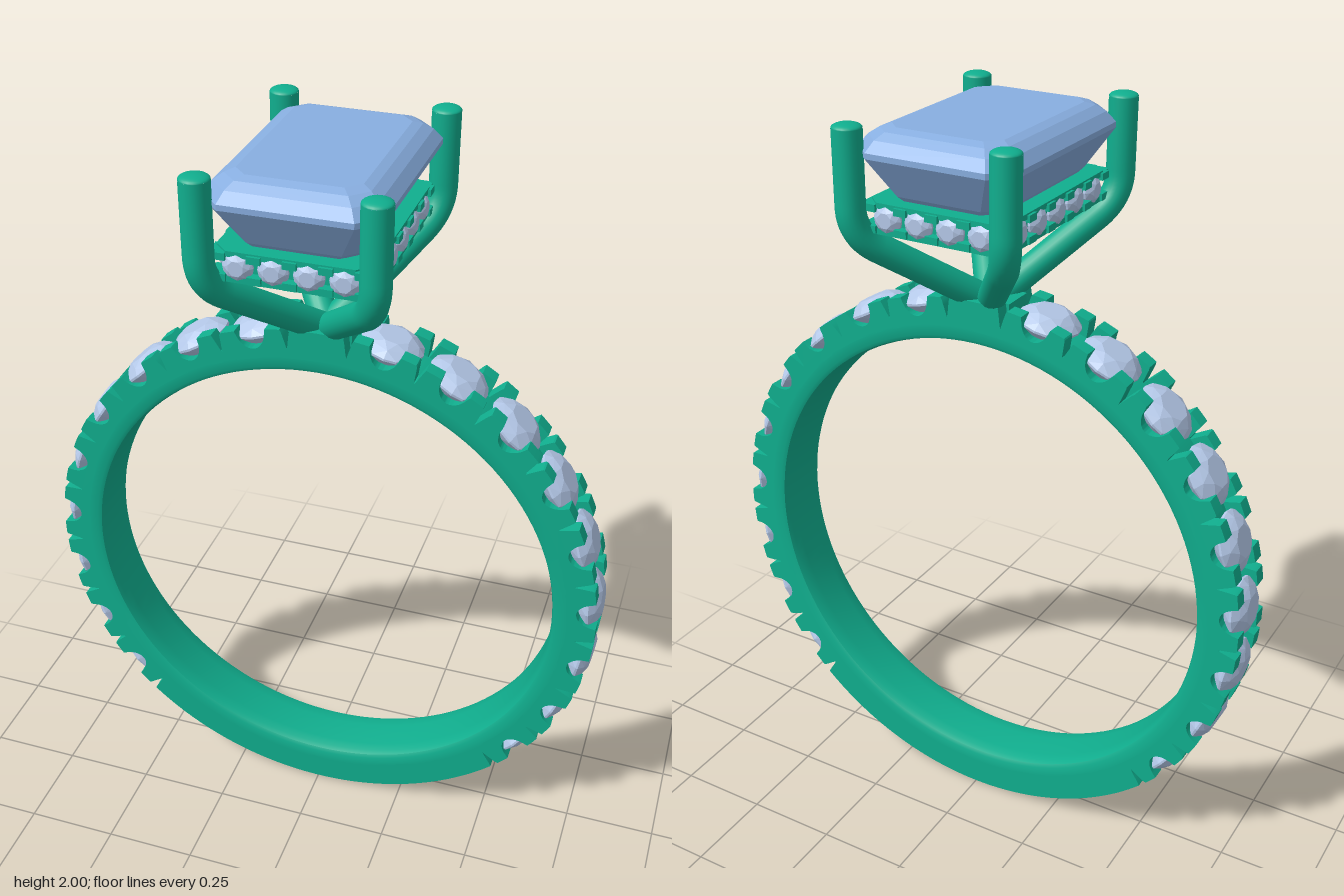
import * as THREE from 'three';
import { toCreasedNormals } from 'three/addons/utils/BufferGeometryUtils.js';
import { ConvexGeometry } from 'three/addons/geometries/ConvexGeometry.js';

const CY = 0.767, R = 0.765, HALF = 0.085;      // band centre height, outer radius, half width
const PITCH = 14.4, FIRST = 13.4, COUNT = 9;    // pavé stones per side, in degrees from the top
const V = (x, y, z) => new THREE.Vector3(x, y, z);
const rad = THREE.MathUtils.degToRad;

export function createModel() {
  const root = new THREE.Group();
  const metal = new THREE.MeshStandardMaterial({ color: 0x10ae8e });
  const blue = new THREE.MeshStandardMaterial({ color: 0x88aee0, flatShading: true });
  const pale = new THREE.MeshStandardMaterial({ color: 0xb4c8e8, flatShading: true });

  const add = (name, geo, mat, parent = root) => {
    const m = new THREE.Mesh(geo, mat);
    m.name = name;
    parent.add(m);
    return m;
  };
  const group = (name) => {
    const g = new THREE.Group();
    g.name = name;
    root.add(g);
    return g;
  };

  // Inner band with softly rounded inside edges
  const s = 0.69, r0 = 0.645;
  const profile = [[s, -HALF], [0.662, -HALF], [0.652, -0.08], [0.647, -0.066], [r0, -0.04],
    [r0, 0.04], [0.647, 0.066], [0.652, 0.08], [0.662, HALF], [s, HALF], [s, -HALF]]
    .map(([x, y]) => new THREE.Vector2(x, y)).reverse();
  const band = add('innerBand', toCreasedNormals(new THREE.LatheGeometry(profile, 128), 0.6), metal);
  band.material = metal.clone();
  band.material.side = THREE.DoubleSide;
  band.rotation.x = Math.PI / 2;
  band.position.y = CY;

  // Outer band layers: an extruded ring whose radius follows a rule of the angle from the top
  const layer = (name, radiusAt, z0, z1) => {
    const pts = [];
    for (let i = 0; i < 1440; i++) {
      const a = i / 4, t = rad(a), r = radiusAt(a > 180 ? 360 - a : a);
      pts.push(new THREE.Vector2(Math.sin(t) * r, Math.cos(t) * r));
    }
    const shape = new THREE.Shape(pts);
    shape.holes.push(new THREE.Path().absarc(0, 0, s - 0.004, 0, Math.PI * 2));
    const geo = new THREE.ExtrudeGeometry(shape, { depth: z1 - z0, bevelEnabled: false, curveSegments: 64 });
    add(name, toCreasedNormals(geo, 0.5), metal).position.set(0, CY, z0);
  };
  const start = FIRST - PITCH / 2, end = start + COUNT * PITCH;
  // scallop under each stone, narrow V notch between neighbours
  const scalloped = (a) => {
    if (a < start - 1 || a > end + 1) return R;
    const k = (a - start) / PITCH;
    const toNotch = Math.abs(k - Math.round(k)) * rad(PITCH) * R;
    if (toNotch < 0.012) return R - 0.055 * (1 - toNotch / 0.012);
    const toStone = Math.abs(k - Math.floor(k) - 0.5) * rad(PITCH) * R;
    const inside = a > start && a < end && toStone < 0.04;
    return inside ? R - 0.052 * Math.sqrt(1 - (toStone / 0.04) ** 2) : R;
  };
  layer('bandProngsFront', scalloped, 0.045, HALF);
  layer('bandProngsBack', scalloped, -HALF, -0.045);
  layer('bandCentre', (a) => (a > start && a < end ? 0.72 : R), -0.045, 0.045);

  // Round brilliant: octagonal table, crown ring, girdle and pavilion point
  const brilliant = (r, crown, depth) => {
    const pts = [V(0, -depth, 0)];
    const ring = (n, q, y, off) => {
      for (let i = 0; i < n; i++) {
        const t = (i + off) / n * Math.PI * 2;
        pts.push(V(Math.cos(t) * q, y, Math.sin(t) * q));
      }
    };
    ring(8, r * 0.52, crown, 0.5);
    ring(8, r * 0.8, crown * 0.62, 0);
    ring(16, r, 0.003, 0);
    ring(16, r, -0.003, 0);
    ring(8, r * 0.62, -depth * 0.5, 0.5);
    return new ConvexGeometry(pts);
  };
  const placeStone = (parent, geo, name, pos, normal) => {
    const m = add(name, geo, pale, parent);
    m.position.copy(pos);
    m.quaternion.setFromUnitVectors(V(0, 1, 0), normal);
  };

  // Stones along the shoulders of the band
  const bandStones = group('bandStones');
  const bandGem = brilliant(0.082, 0.03, 0.07);
  for (const side of [-1, 1]) {
    for (let i = 0; i < COUNT; i++) {
      const t = rad(FIRST + i * PITCH), n = V(side * Math.sin(t), Math.cos(t), 0);
      placeStone(bandStones, bandGem, 'bandStone', n.clone().multiplyScalar(0.74).add(V(0, CY, 0)), n);
    }
  }

  // Four claws rising from one foot on the band
  const claws = group('claws');
  for (const sx of [-1, 1]) {
    for (const sz of [-1, 1]) {
      const at = (f, y) => V(sx * 0.21 * f, y, sz * 0.292 * f);
      const path = new THREE.CurvePath();
      path.add(new THREE.LineCurve3(at(0, 1.505), at(0.82, 1.69)));
      path.add(new THREE.QuadraticBezierCurve3(at(0.82, 1.69), at(1, 1.731), at(1, 1.8)));
      path.add(new THREE.LineCurve3(at(1, 1.8), at(1, 1.988)));
      add('claw', new THREE.TubeGeometry(path, 48, 0.037, 20), metal, claws);
      const tip = add('clawTip', new THREE.SphereGeometry(0.037, 20, 8, 0, Math.PI * 2, 0, Math.PI / 2), metal, claws);
      tip.scale.y = 0.32;
      tip.position.copy(at(1, 1.988));
    }
  }

  // Step-cut centre stone: stacked rectangles with cut corners [y, half x, half z, corner cut]
  const steps = [[1.705, 0.006, 0.08, 0.003], [1.755, 0.088, 0.165, 0.024], [1.825, 0.155, 0.238, 0.042],
    [1.922, 0.216, 0.297, 0.056], [1.936, 0.216, 0.297, 0.056], [1.962, 0.195, 0.276, 0.048],
    [1.978, 0.172, 0.253, 0.04], [1.986, 0.15, 0.23, 0.034]];
  const stonePts = [];
  for (const [y, x, z, c] of steps) {
    for (const sx of [-1, 1]) {
      for (const sz of [-1, 1]) stonePts.push(V(sx * (x - c), y, sz * z), V(sx * x, y, sz * (z - c)));
    }
  }
  add('centreStone', new ConvexGeometry(stonePts), blue);

  // Basket: cut-corner frame with two rails, set with small stones on all sides
  const basket = group('basket');
  const cutRect = (x, z, c, Kind) => new Kind([[x, z - c], [x - c, z], [c - x, z], [-x, z - c],
    [-x, c - z], [c - x, -z], [x - c, -z], [x, c - z]].map(([a, b]) => new THREE.Vector2(a, b)));
  const frame = (name, x, z, y, h) => {
    const shape = cutRect(x, z, 0.035, THREE.Shape);
    shape.holes.push(cutRect(0.14, 0.215, 0.025, THREE.Path));
    const m = add(name, new THREE.ExtrudeGeometry(shape, { depth: h, bevelEnabled: false }), metal, basket);
    m.rotation.x = -Math.PI / 2;
    m.position.y = y;
  };
  frame('basketCore', 0.175, 0.25, 1.742, 0.062);
  frame('basketLowerRail', 0.19, 0.266, 1.735, 0.014);
  frame('basketUpperRail', 0.19, 0.266, 1.798, 0.014);
  const smallGem = brilliant(0.038, 0.018, 0.03);
  const row = (n, pitch, out, normal) => {
    const along = V(normal.z, 0, -normal.x);
    const point = (u, y, d) => along.clone().multiplyScalar(u).addScaledVector(normal, d).add(V(0, y, 0));
    for (let i = 0; i < n; i++) {
      placeStone(basket, smallGem, 'basketStone', point((i - (n - 1) / 2) * pitch, 1.773, out - 0.014), normal);
    }
    for (let i = 0; i <= n; i++) {
      for (const dy of [-0.026, 0.026]) {
        const tab = add('basketProng', new THREE.BoxGeometry(0.034, 0.018, 0.03), metal, basket);
        tab.position.copy(point((i - n / 2) * pitch, 1.773 + dy, out - 0.012));
        tab.rotation.y = Math.atan2(normal.x, normal.z);
      }
    }
  };
  for (const d of [-1, 1]) {
    row(4, 0.086, 0.27, V(0, 0, d));
    row(5, 0.094, 0.194, V(d, 0, 0));
  }
  return root;
}
